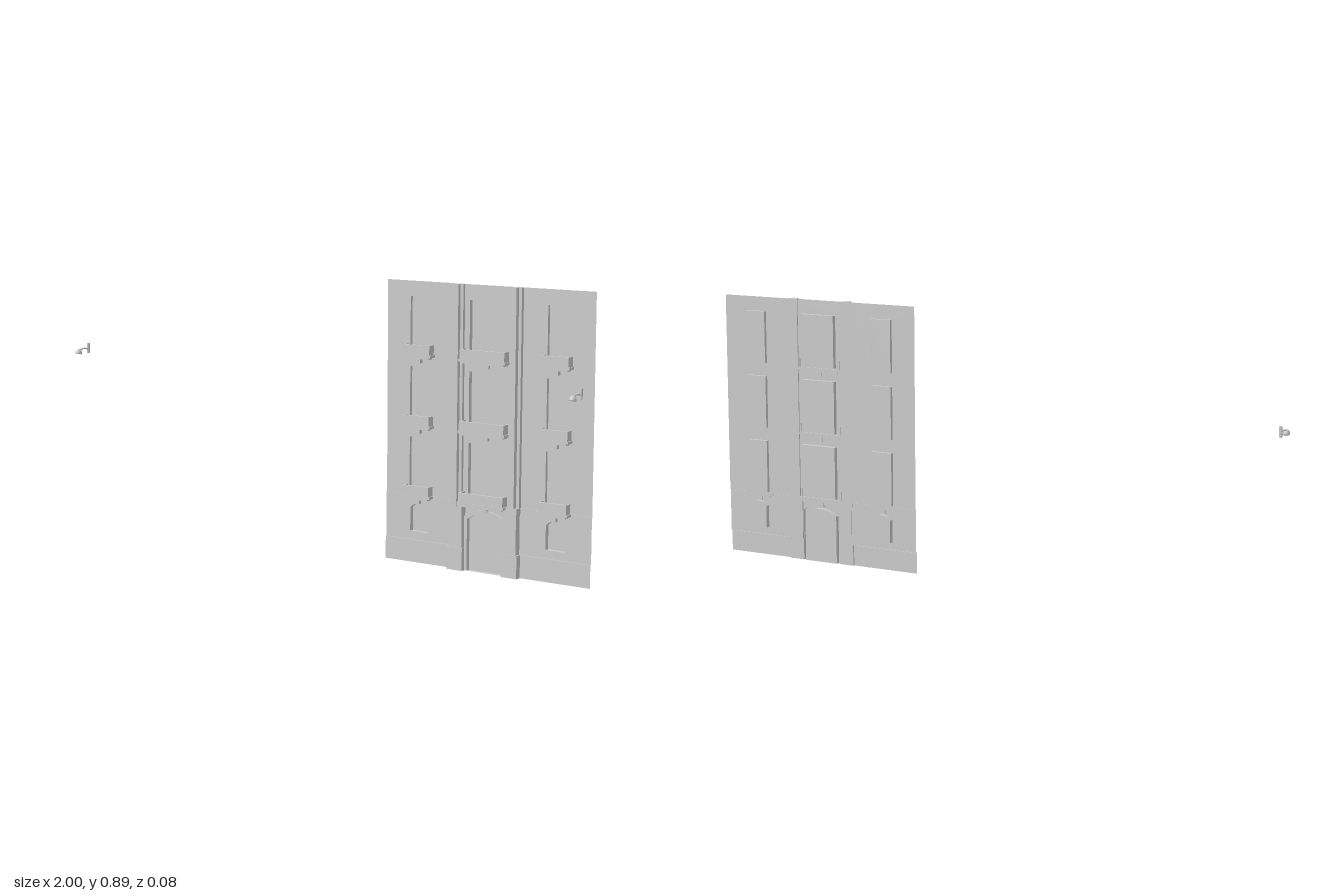
import * as THREE from 'three';

const grey = new THREE.MeshStandardMaterial({ color: 0xcccccc, side: THREE.DoubleSide, flatShading: true });
const smooth = new THREE.MeshStandardMaterial({ color: 0xcccccc, side: THREE.DoubleSide });

const CX = 0.632;                    // axis of the facade
const WALL = -0.027, GROUND = -0.025, PLINTH = -0.021, BAY = -0.023;
const rows = [0.222, 0.445, 0.667];  // sill heights of the upper floors

export function createModel() {
  const model = new THREE.Group();

  const add = (name, geo, parent = model, mat = grey) => {
    const mesh = new THREE.Mesh(geo, mat);
    mesh.name = name;
    parent.add(mesh);
    return mesh;
  };
  const box = (name, x0, x1, y0, y1, z0, z1, parent) =>
    add(name, new THREE.BoxGeometry(x1 - x0, y1 - y0, z1 - z0), parent)
      .position.set((x0 + x1) / 2, (y0 + y1) / 2, (z0 + z1) / 2);

  // Outline of an opening; rise > 0 gives it a segmental arch on top
  const outline = (x0, x1, y0, y1, rise = 0) => {
    const pts = [new THREE.Vector2(x0, y0), new THREE.Vector2(x1, y0)];
    const n = rise ? 10 : 1;
    for (let i = 0; i <= n; i++) {
      const t = i / n;
      pts.push(new THREE.Vector2(x1 + (x0 - x1) * t, y1 - rise * (2 * t - 1) ** 2));
    }
    return pts;
  };

  // Thin sheet with holes
  const sheet = (name, pts, z, holes = [], parent = model) => {
    const shape = new THREE.Shape(pts);
    holes.forEach(h => shape.holes.push(new THREE.Path(h)));
    add(name, new THREE.ShapeGeometry(shape), parent).position.z = z;
  };

  // Band following a closed outline from depth z0 to z1
  const band = (name, pts, z0, z1, parent) => {
    const pos = [], idx = [], n = pts.length;
    pts.forEach(p => pos.push(p.x, p.y, z0, p.x, p.y, z1));
    for (let i = 0; i < n; i++) {
      const a = 2 * i, b = 2 * ((i + 1) % n);
      idx.push(a, b, a + 1, b, b + 1, a + 1);
    }
    const geo = new THREE.BufferGeometry();
    geo.setAttribute('position', new THREE.Float32BufferAttribute(pos, 3));
    geo.setIndex(idx);
    geo.computeVertexNormals();
    add(name, geo, parent);
  };

  // Recessed pane with its reveal
  const recess = (name, pts, front, back) => {
    const g = new THREE.Group();
    g.name = name;
    model.add(g);
    band('reveal', pts, front, back, g);
    sheet('pane', pts, back, [], g);
  };

  // Hollow parapet on a wider slab, carried by a corbel
  const balcony = (cx, half, y, out, corbel) => {
    const g = new THREE.Group();
    g.name = 'balcony';
    model.add(g);
    const t = 0.004;
    box('balconySlab', cx - half, cx + half, y - 0.012, y - 0.004, WALL, out, g);
    box('balconyFront', cx - half + t, cx + half - t, y - 0.004, y + 0.026, out - 2 * t, out - 0.001, g);
    for (const s of [-1, 1]) {
      const x = cx + s * (half - 1.5 * t);
      box('balconySide', x - t / 2, x + t / 2, y - 0.004, y + 0.026, WALL, out - 2 * t, g);
    }
    box('balconyMoulding', cx - half + 0.01, cx + half - 0.01, y - 0.018, y - 0.012, WALL, out - 0.006, g);
    box('balconyCorbel', cx - corbel, cx + corbel, y - 0.032, y - 0.018, WALL, -0.012, g);
  };

  // Side walls, mirrored about the facade axis
  for (const s of [-1, 1]) {
    const cx = CX + s * 0.244;
    const inner = CX + s * 0.11, outer = CX + s * 0.367;
    const x0 = Math.min(inner, outer), x1 = Math.max(inner, outer);

    const wins = rows.map((y, i) => outline(cx - 0.038, cx + 0.038, y, [0.4, 0.622, 0.842][i]));
    sheet('sideWall', outline(x0, x1, 0.217, 0.89), WALL, wins);
    wins.forEach(w => recess('sideWindow', w, WALL, -0.038));
    rows.forEach(y => balcony(cx, 0.052, y, 0, 0.007));

    const low = outline(cx - 0.033, cx + 0.033, 0.098, 0.19, 0.016);
    sheet('groundWall', outline(x0, x1, 0.072, 0.217), GROUND, [low]);
    recess('groundWindow', low, GROUND, -0.041);
    band('stringCourse', outline(x0, x1, 0.215, 0.217), WALL, GROUND);
    sheet('plinth', outline(x0, x1, 0, 0.072), PLINTH);
    band('plinthLedge', outline(x0, x1, 0.071, 0.072), GROUND, PLINTH);

    // Stepped pilaster on a wide base
    const strip = (name, a, b, y0, y1, z) =>
      box(name, CX + Math.min(s * a, s * b), CX + Math.max(s * a, s * b), y0, y1, WALL, z);
    strip('pilasterShaft', 0.092, 0.112, 0.2, 0.89, 0);
    strip('pilasterInnerStep', 0.082, 0.092, 0.2, 0.89, -0.013);
    strip('pilasterOuterStep', 0.112, 0.122, 0.2, 0.89, -0.015);
    strip('pilasterBase', 0.073, 0.12, 0, 0.2, -0.002);
    strip('pilasterFoot', 0.07, 0.125, 0, 0.072, 0);
    strip('pilasterCap', 0.073, 0.123, 0.2, 0.217, -0.001);
  }

  // Central bay with tall windows and deep balconies
  const tall = rows.map((y, i) => outline(CX - 0.064, CX + 0.064, y, [0.4, 0.622, 0.842][i]));
  sheet('centralWall', outline(CX - 0.11, CX + 0.11, 0.217, 0.89), BAY, tall);
  tall.forEach(w => recess('centralWindow', w, BAY, -0.038));
  rows.forEach(y => balcony(CX, 0.083, y, 0.012, 0.01));

  // Arched doorway with a raised surround
  const door = outline(CX - 0.061, CX + 0.061, 0, 0.183, 0.02);
  const arch = outline(CX - 0.071, CX + 0.071, 0, 0.195, 0.022);
  sheet('doorWall', outline(CX - 0.11, CX + 0.11, 0, 0.217), BAY, [arch]);
  sheet('doorSurround', arch, -0.014, [door]);
  band('doorSurroundEdge', arch, BAY, -0.014);
  recess('door', door, -0.014, -0.029);

  // Wall lamps
  for (const x of [-0.989, 0.955]) {
    const lamp = new THREE.Group();
    lamp.name = 'wallLamp';
    model.add(lamp);
    box('lampPlate', x - 0.004, x + 0.004, 0.568, 0.602, WALL, -0.02, lamp);
    const path = new THREE.CatmullRomCurve3([
      new THREE.Vector3(x, 0.582, -0.022), new THREE.Vector3(x, 0.586, 0), new THREE.Vector3(x, 0.583, 0.022)]);
    add('lampArm', new THREE.TubeGeometry(path, 8, 0.0025, 6), lamp, smooth);
    const head = add('lampShade', new THREE.SphereGeometry(1, 14, 6, 0, Math.PI * 2, 0, Math.PI / 2), lamp, smooth);
    const glass = add('lampGlass', new THREE.CircleGeometry(1, 14).rotateX(Math.PI / 2), lamp, smooth);
    for (const part of [head, glass]) {
      part.scale.set(0.011, 0.016, 0.014);
      part.position.set(x, 0.57, 0.028);
      part.rotation.x = -0.25;
    }
  }
  return model;
}
